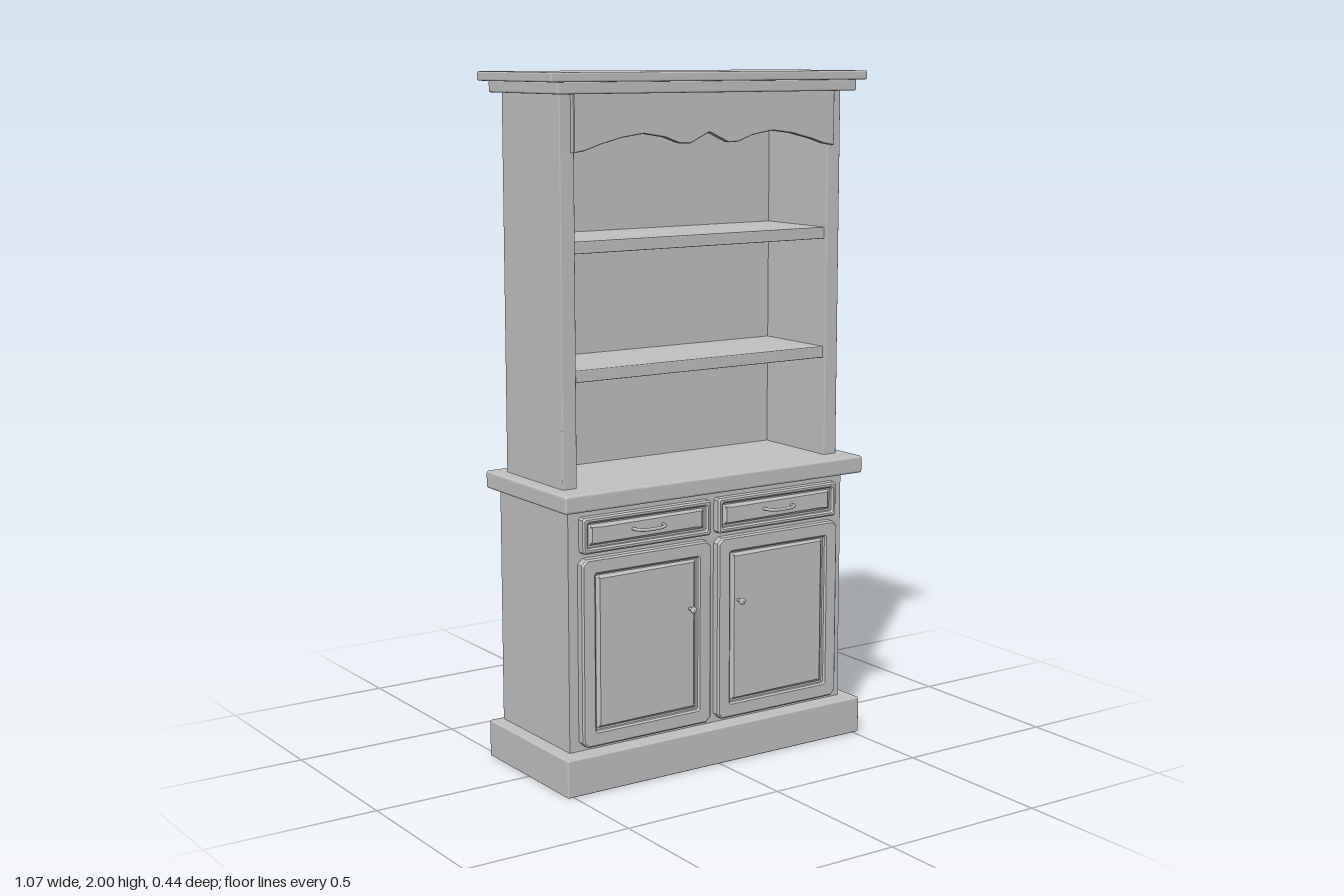
import * as THREE from 'three';
import { RoundedBoxGeometry } from 'three/addons/geometries/RoundedBoxGeometry.js';

const grey = new THREE.MeshStandardMaterial({ color: 0xc0c0c0 });
grey.name = 'plain grey';

function add(parent, name, geometry, x = 0, y = 0, z = 0) {
  const mesh = new THREE.Mesh(geometry, grey);
  mesh.name = name;
  mesh.position.set(x, y, z);
  parent.add(mesh);
  return mesh;
}

// Box given by its extents, with softened edges when r > 0
function board(parent, name, [x0, x1], [y0, y1], [z0, z1], r = 0) {
  const w = x1 - x0, h = y1 - y0, d = z1 - z0;
  const geometry = r ? new RoundedBoxGeometry(w, h, d, 2, r) : new THREE.BoxGeometry(w, h, d);
  return add(parent, name, geometry, (x0 + x1) / 2, (y0 + y1) / 2, (z0 + z1) / 2);
}

// Rectangle outline with clipped corners
function outline(w, h, c, Type = THREE.Shape) {
  const a = w / 2, b = h / 2;
  const pts = [[-a + c, -b], [a - c, -b], [a, -b + c], [a, b - c],
    [a - c, b], [-a + c, b], [-a, b - c], [-a, -b + c]];
  return new Type(pts.map(p => new THREE.Vector2(...p)));
}

function bevelled(shape, depth, bevel) {
  return new THREE.ExtrudeGeometry(shape, {
    depth: depth - bevel, bevelEnabled: true, bevelSegments: 1,
    bevelSize: bevel, bevelThickness: bevel, bevelOffset: -bevel,
  });
}

// Framed front with a sunken panel and a raised, sloped field
function framedFront(parent, name, w, h, rail, clip, x, y) {
  const front = new THREE.Group();
  front.name = name;
  front.position.set(x, y, 0.167);
  const frame = outline(w, h, clip);
  frame.holes.push(outline(w - 2 * rail, h - 2 * rail, 0.003, THREE.Path));
  add(front, 'frame', bevelled(frame, 0.026, 0.005));
  add(front, 'sunkenPanel', new THREE.BoxGeometry(w - 2 * rail + 0.01, h - 2 * rail + 0.01, 0.012), 0, 0, 0.006);
  const field = outline(w - 2 * rail - 0.012, h - 2 * rail - 0.012, 0.002);
  add(front, 'raisedField', bevelled(field, 0.012, 0.009), 0, 0, 0.01);
  parent.add(front);
  return front;
}

export function createModel() {
  const model = new THREE.Group();
  model.name = 'dresser';

  // Lower cabinet
  board(model, 'plinth', [-0.52, 0.52], [0, 0.11], [-0.222, 0.222], 0.005);
  board(model, 'cabinetBody', [-0.48, 0.48], [0.105, 0.815], [-0.208, 0.167]);
  board(model, 'counter', [-0.52, 0.52], [0.81, 0.862], [-0.222, 0.222], 0.008);

  // Upper shelving and cornice
  for (const s of [-1, 1]) {
    const side = s < 0 ? [-0.48, -0.434] : [0.434, 0.48];
    board(model, s < 0 ? 'rightSide' : 'leftSide', side, [0.855, 1.945], [-0.168, 0.143], 0.003);
  }
  board(model, 'backPanel', [-0.44, 0.44], [0.855, 1.945], [-0.165, -0.142]);
  for (const y of [1.155, 1.51]) {
    board(model, 'shelf', [-0.437, 0.437], [y, y + 0.034], [-0.145, 0.132], 0.003);
  }
  board(model, 'corniceMoulding', [-0.508, 0.508], [1.942, 1.976], [-0.193, 0.182], 0.005);
  board(model, 'corniceTop', [-0.537, 0.537], [1.974, 2], [-0.207, 0.197], 0.005);

  // Scalloped valance, drawn as one half and mirrored
  const half = [[0.445, 1.785], [0.41, 1.79], [0.36, 1.806], [0.29, 1.823], [0.22, 1.832],
    [0.15, 1.821], [0.1, 1.803], [0.065, 1.802], [0.03, 1.818]];
  const edge = [...half, [0, 1.832], ...half.map(([x, y]) => [-x, y]).reverse()];
  const valance = new THREE.Shape(
    [[-0.445, 1.944], [0.445, 1.944], ...edge].map(p => new THREE.Vector2(...p)));
  add(model, 'valance', bevelled(valance, 0.018, 0.002), 0, 0, 0.142);

  // Doors, drawers and their pulls
  const knobProfile = [[0, 0], [0.005, 0], [0.005, 0.013], [0.01, 0.018], [0.01, 0.023], [0.006, 0.027], [0, 0.027]]
    .map(p => new THREE.Vector2(...p));
  const pullCurve = new THREE.CatmullRomCurve3([[-0.05, 0, 0], [-0.046, 0, 0.02], [-0.03, -0.002, 0.026],
    [0.03, -0.002, 0.026], [0.046, 0, 0.02], [0.05, 0, 0]].map(p => new THREE.Vector3(...p)));
  for (const s of [-1, 1]) {
    const label = s < 0 ? 'right' : 'left';
    const door = framedFront(model, label + 'Door', 0.438, 0.545, 0.045, 0.016, s * 0.231, 0.395);
    add(door, 'knob', new THREE.LatheGeometry(knobProfile, 12), -s * 0.145, 0.08, 0.022)
      .rotation.x = Math.PI / 2;
    const drawer = framedFront(model, label + 'Drawer', 0.432, 0.103, 0.016, 0.006, s * 0.229, 0.734);
    add(drawer, 'pull', new THREE.TubeGeometry(pullCurve, 20, 0.005, 8), 0, 0.002, 0.02);
  }
  return model;
}
